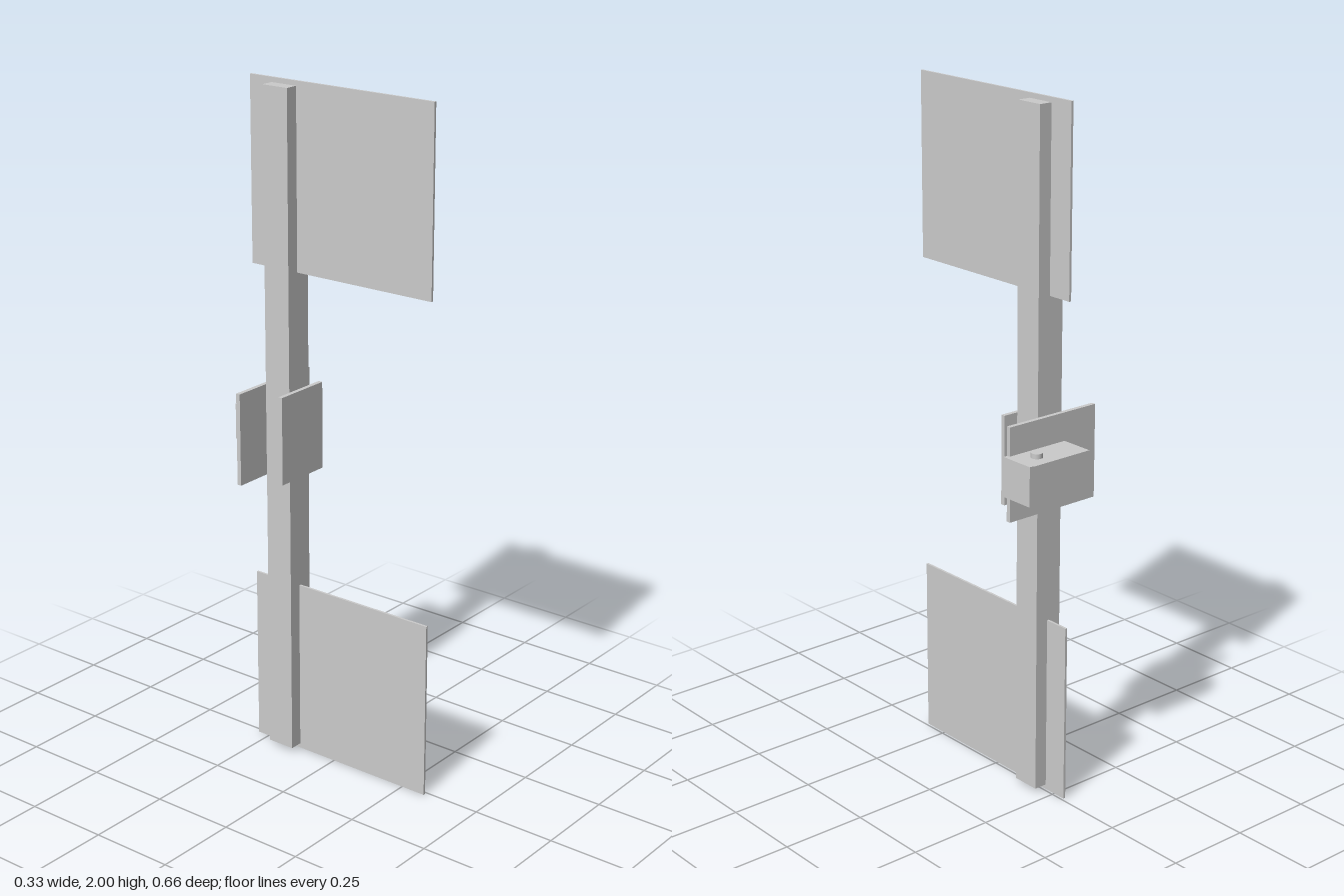
import * as THREE from 'three';

const material = new THREE.MeshStandardMaterial({ color: 0xcccccc });

// Box given by its extents along each axis
function box(name, [x0, x1], [y0, y1], [z0, z1]) {
  const mesh = new THREE.Mesh(new THREE.BoxGeometry(x1 - x0, y1 - y0, z1 - z0), material);
  mesh.position.set((x0 + x1) / 2, (y0 + y1) / 2, (z0 + z1) / 2);
  mesh.name = name;
  return mesh;
}

export function createModel() {
  const model = new THREE.Group();
  model.name = 'panelMast';

  // Upright post
  model.add(box('post', [-0.053, 0.032], [0.014, 1.986], [-0.213, -0.128]));

  // Thin panels slotted through both ends of the post
  model.add(box('upperPanel', [-0.0145, -0.0075], [1.47, 2], [-0.289, 0.327]));
  model.add(box('lowerPanel', [-0.0145, -0.0075], [0, 0.53], [-0.289, 0.327]));

  // Clamping plates on the front and back of the post
  model.add(box('frontPlate', [-0.101, 0.078], [0.871, 1.131], [-0.128, -0.115]));
  model.add(box('backPlate', [-0.165, 0.143], [0.866, 1.138], [-0.227, -0.214]));

  // Arm behind the back plate, with its end cap
  model.add(box('arm', [-0.053, 0.15], [0.948, 1.056], [-0.327, -0.227]));
  model.add(box('armEndCap', [0.15, 0.163], [0.945, 1.059], [-0.33, -0.224]));

  // Pin passing vertically through the arm
  const pin = new THREE.Mesh(new THREE.CylinderGeometry(0.0165, 0.0165, 0.136, 32), material);
  pin.position.set(0.092, 1.002, -0.277);
  pin.name = 'pin';
  model.add(pin);

  return model;
}
